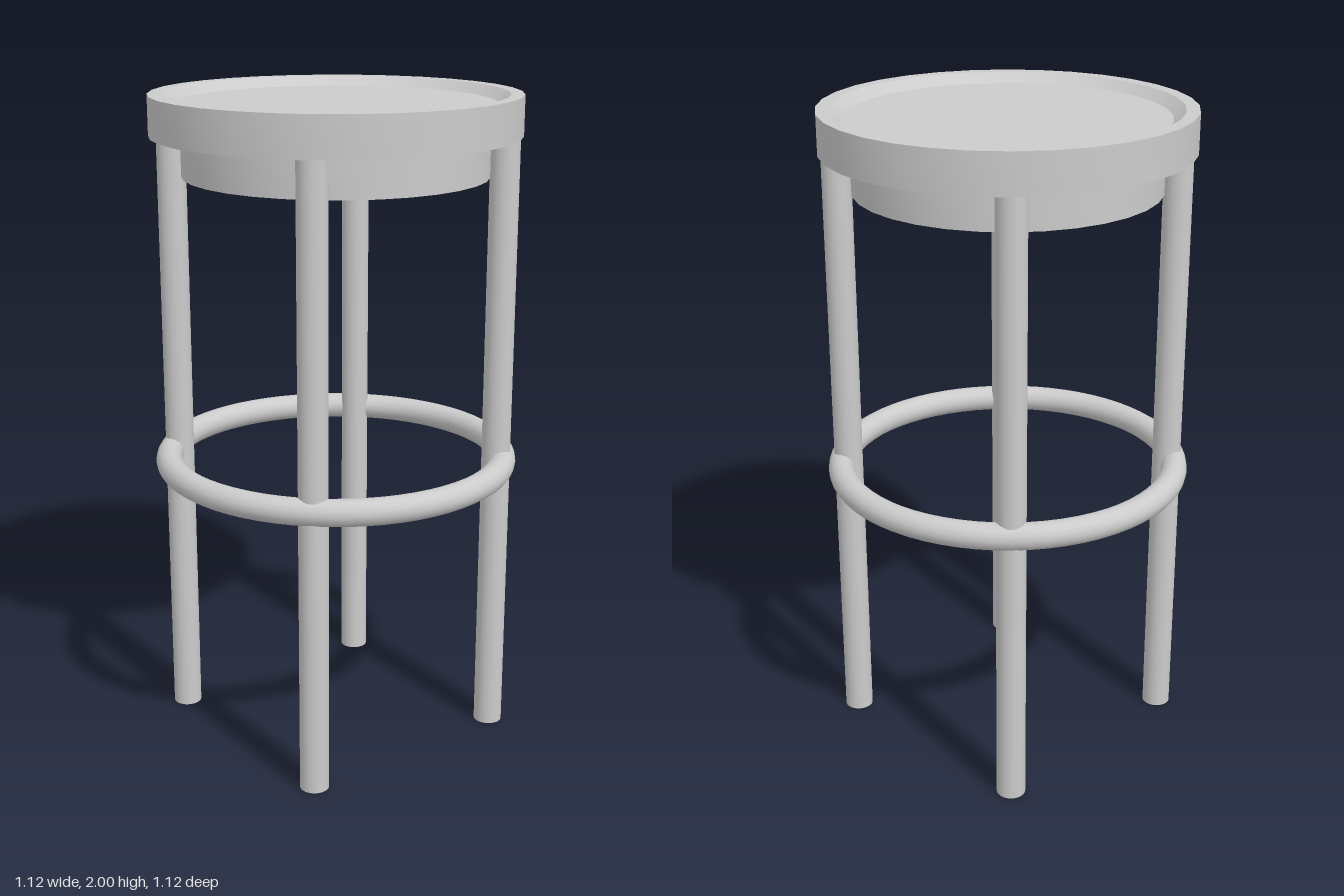
import * as THREE from 'three';
import { toCreasedNormals } from 'three/addons/utils/BufferGeometryUtils.js';

export function createModel() {
  const stool = new THREE.Group();
  stool.name = 'barStool';
  const grey = new THREE.MeshStandardMaterial({ color: 0xcccccc });
  const openGrey = new THREE.MeshStandardMaterial({ color: 0xcccccc, side: THREE.DoubleSide });

  const add = (name, geometry, material = grey) => {
    const mesh = new THREE.Mesh(geometry, material);
    mesh.name = name;
    stool.add(mesh);
    return mesh;
  };
  const turned = (profile) => toCreasedNormals(
    new THREE.LatheGeometry(profile.map(([r, y]) => new THREE.Vector2(r, y)), 32), 0.4);

  // Round seat with a raised rim sloping down to a shallow dish
  add('seat', turned([[0, 1.88], [0.55, 1.88], [0.55, 2], [0.51, 2], [0.475, 1.972], [0, 1.972]]));

  // Hollow skirt ring beneath the seat
  add('seatSkirt', turned([[0.43, 1.88], [0.43, 1.76], [0.457, 1.76], [0.457, 1.88]]));

  // Four straight tubular legs, open at the floor
  const legGeometry = new THREE.CylinderGeometry(0.044, 0.044, 1.89, 24, 1, true);
  for (const x of [-1, 1]) {
    for (const z of [-1, 1]) {
      const name = (z > 0 ? 'front' : 'back') + (x > 0 ? 'Left' : 'Right') + 'Leg';
      add(name, legGeometry, openGrey).position.set(x * 0.352, 0.945, z * 0.352);
    }
  }

  // Foot ring running through the legs
  const footRing = add('footRing', new THREE.TorusGeometry(0.519, 0.04, 16, 64));
  footRing.rotation.x = Math.PI / 2;
  footRing.position.y = 0.886;

  return stool;
}
